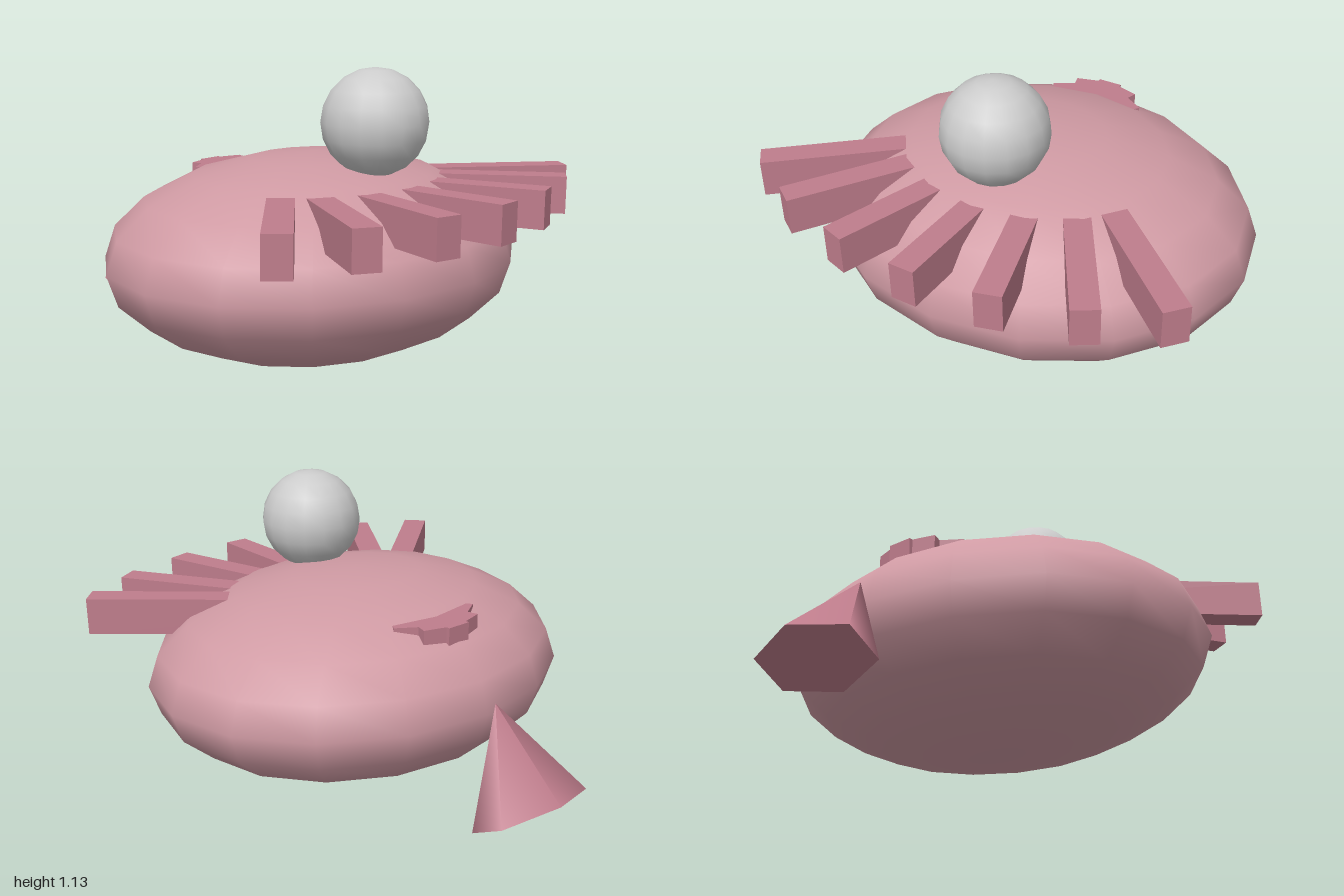
import * as THREE from 'three';

export function createModel() {
  const model = new THREE.Group();
  const bodyMat = new THREE.MeshStandardMaterial({ color: 0xcf9aa3 });
  const limbMat = new THREE.MeshStandardMaterial({ color: 0xbf7d8c });
  const headMat = new THREE.MeshStandardMaterial({ color: 0xcccccc });

  const add = (name, geometry, material, x, y, z) => {
    const mesh = new THREE.Mesh(geometry, material);
    mesh.name = name;
    mesh.position.set(x, y, z);
    model.add(mesh);
    return mesh;
  };

  // Flattened body and round head
  const body = add('body', new THREE.SphereGeometry(1, 16, 10), bodyMat, 0, 0.4, 0.115);
  body.scale.set(0.88, 0.395, 0.748);
  add('head', new THREE.SphereGeometry(0.203, 16, 10), headMat, 0, 0.932, 0.41);

  // Fan of long bars that run right through the body
  const barGeo = new THREE.BoxGeometry(0.1, 0.145, 1.465);
  const offsets = [0, 0.115, 0.232, 0.322];
  for (let i = -3; i <= 3; i++) {
    const x = Math.sign(i) * offsets[Math.abs(i)];
    const bar = add(`fanBar${i + 4}`, barGeo, limbMat, x, 0.633, 0.259 - 0.0025 * i * i);
    bar.rotation.y = i * 0.284;
  }

  // Six-sided tail cone, wider than it is deep, tipped toward the body
  const tail = add('tail', new THREE.ConeGeometry(1, 0.405, 6), limbMat, 0, 0.281, -0.764);
  tail.scale.set(0.26, 1, 0.157);
  tail.rotation.x = 0.49;

  return model;
}
